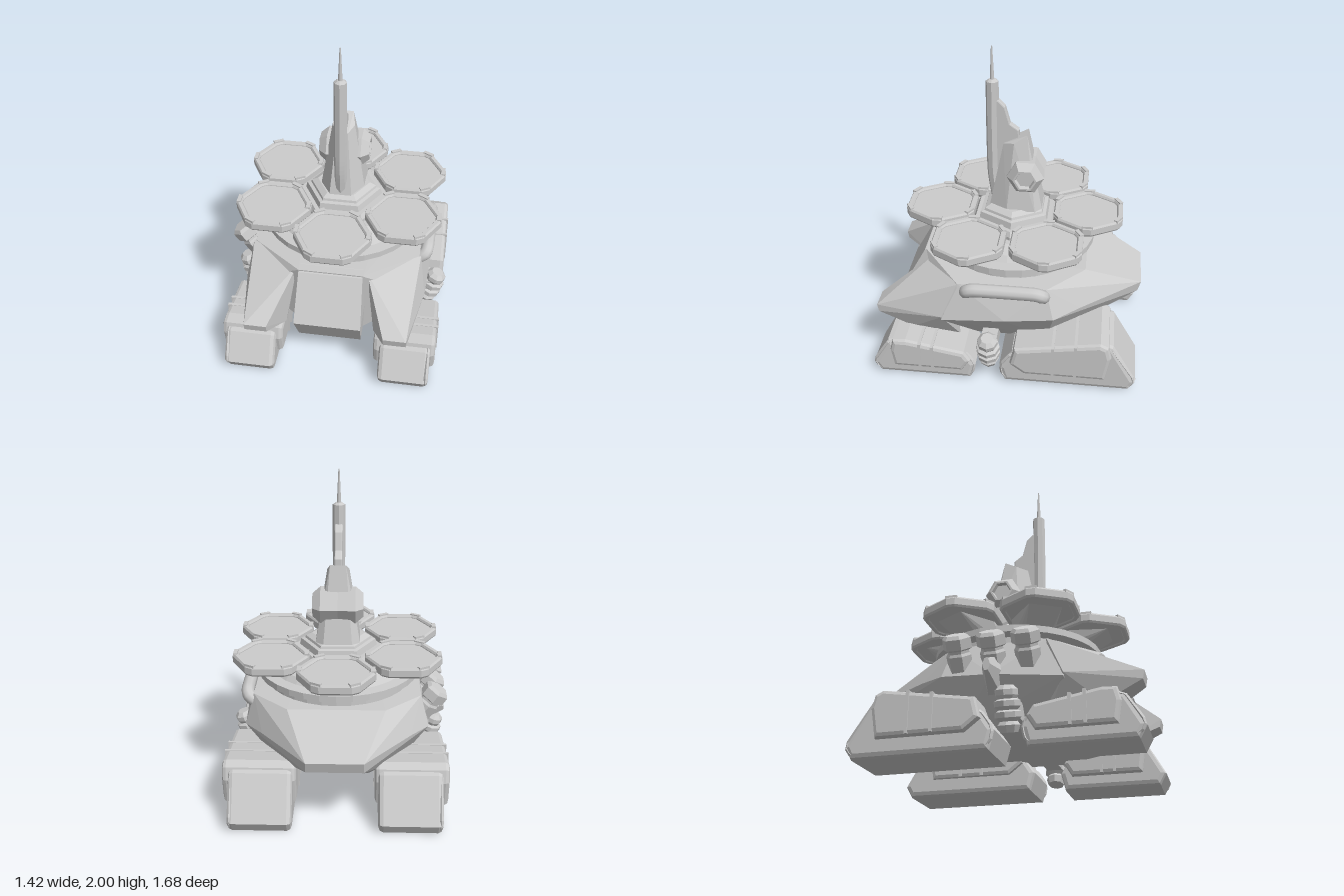
import * as THREE from 'three';
import { ConvexGeometry } from 'three/addons/geometries/ConvexGeometry.js';

const flat = new THREE.MeshStandardMaterial({ color: 0xcccccc, flatShading: true });
const smooth = new THREE.MeshStandardMaterial({ color: 0xcccccc });
const V = (x, y, z) => new THREE.Vector3(x, y, z);

export function createModel() {
  const model = new THREE.Group();
  const add = (name, geo, mat = flat, parent = model) => {
    const m = new THREE.Mesh(geo, mat);
    m.name = name;
    parent.add(m);
    return m;
  };

  // Faceted solid around points; 'mirror' adds each point on the other side too
  const solid = (pts, mirror = true, s = 1) => new ConvexGeometry(
    pts.flatMap(([x, y, z]) => (mirror ? [V(x, y, z), V(-x, y, z)] : [V(x * s, y, z)])));

  // Side outline of [z, y] points, extruded across x from the centre cx
  const slab = (pts, cx, width, bevel = 0.02) => {
    const g = new THREE.ExtrudeGeometry(new THREE.Shape(pts.map(p => new THREE.Vector2(...p))), {
      depth: width - 2 * bevel, bevelEnabled: bevel > 0, bevelThickness: bevel,
      bevelSize: bevel, bevelOffset: -bevel, bevelSegments: 2 });
    return g.translate(0, 0, bevel - width / 2).rotateY(-Math.PI / 2).translate(cx, 0, 0);
  };
  const lathe = (pts, sides) => new THREE.LatheGeometry(pts.map(p => new THREE.Vector2(...p)), sides);

  // Hull
  add('hull', solid([
    [0.2, 0.67, 0.56], [0.53, 0.65, 0.3], [0.53, 0.65, -0.25], [0.3, 0.66, -0.48],
    [0.58, 0.4, 0.4], [0.6, 0.44, 0], [0.58, 0.46, -0.3], [0.46, 0.48, -0.46],
    [0.17, 0.5, -0.84], [0.17, 0.43, -0.82],
    [0.2, 0.17, 0.5], [0.4, 0.18, 0.2], [0.4, 0.18, -0.25], [0.2, 0.2, -0.45]]));
  add('noseBlock', solid([
    [0.2, 0.67, 0.5], [0.2, 0.66, 0.57], [0.21, 0.37, 0.73], [0.2, 0.17, 0.62],
    [0.2, 0.17, 0.3], [0.21, 0.4, 0.3]]));
  for (const s of [-1, 1]) {
    add('frontProng', solid([
      [0.22, 0.65, 0.5], [0.54, 0.65, 0.3], [0.58, 0.42, 0.4], [0.36, 0.42, 0.83], [0.5, 0.42, 0.83],
      [0.36, 0.37, 0.82], [0.5, 0.37, 0.82], [0.28, 0.27, 0.62], [0.49, 0.26, 0.6],
      [0.3, 0.2, 0.4], [0.48, 0.22, 0.3]], false, s));
  }

  // Track units with wrapped-over fenders, mirrored left and right
  const tracks = [
    { name: 'frontTrack', cx: 0.49, w: 0.32, fx: 0.485, fw: 0.39,
      belt: [[0.8, 0], [0.84, 0.07], [0.74, 0.25], [0.67, 0.26], [0.24, 0.2], [0.18, 0.11], [0.21, 0]],
      fender: [[0.7, 0.08], [0.72, 0.2], [0.7, 0.28], [0.62, 0.285], [0.25, 0.22], [0.21, 0.16], [0.26, 0.08]],
      rib: z => [0.09, 0.22 + (z - 0.25) * 0.176], ribs: [0.53, 0.45] },
    { name: 'rearTrack', cx: 0.455, w: 0.39, fx: 0.465, fw: 0.45,
      belt: [[0, 0], [0.03, 0.11], [-0.05, 0.23], [-0.62, 0.35], [-0.68, 0.33], [-0.83, 0.07], [-0.79, 0]],
      fender: [[-0.13, 0.1], [-0.04, 0.17], [-0.07, 0.29], [-0.6, 0.375], [-0.65, 0.35], [-0.67, 0.27], [-0.64, 0.1]],
      rib: z => [0.11, 0.29 - (z + 0.07) * 0.16], ribs: [-0.31, -0.45] },
  ];
  for (const s of [-1, 1]) for (const t of tracks) {
    const unit = new THREE.Group();
    unit.name = t.name;
    model.add(unit);
    add('belt', slab([...t.belt].reverse(), s * t.cx, t.w, 0.03), flat, unit);
    add('fender', slab([...t.fender].reverse(), s * t.fx, t.fw, 0.025), flat, unit);
    for (const z of t.ribs) {
      const [y0, y1] = t.rib(z);
      add('fenderRib', new THREE.BoxGeometry(t.fw + 0.015, y1 - y0 + 0.008, 0.018)
        .translate(s * t.fx, (y0 + y1) / 2, z), flat, unit);
    }
    // raised lip round the outer face of the belt
    const lip = new THREE.CatmullRomCurve3(
      t.belt.map(([z, y]) => V(s * (t.cx + t.w / 2 - 0.015), 0.025 + y * 0.86, z * 0.97 + (z > 0.1 ? 0.015 : -0.012))),
      true, 'catmullrom', 0.1);
    add('beltLip', new THREE.TubeGeometry(lip, 48, 0.012, 4, true), flat, unit);
  }

  // Ringed suspension strut between the tracks
  for (const s of [-1, 1]) {
    const strut = add('suspensionStrut', lathe([[0, 0], [0.05, 0], [0.065, 0.04], [0.05, 0.06], [0.075, 0.08],
      [0.075, 0.11], [0.055, 0.12], [0.075, 0.14], [0.075, 0.17], [0.055, 0.18], [0.065, 0.2],
      [0.065, 0.23], [0.04, 0.255], [0, 0.255]], 8));
    strut.position.set(s * 0.58, 0.1, 0.1);
    strut.rotation.z = -s * 0.3;
    add('strutArm', new THREE.BoxGeometry(0.3, 0.1, 0.1).translate(s * 0.46, 0.24, 0.1));
  }

  // Grab handle on the left flank
  const grip = new THREE.CatmullRomCurve3([V(0.48, 0.56, 0.25), V(0.56, 0.62, 0.24), V(0.575, 0.645, 0.18),
    V(0.575, 0.645, -0.17), V(0.56, 0.62, -0.23), V(0.48, 0.56, -0.24)], false, 'catmullrom', 0.3);
  add('handle', new THREE.TubeGeometry(grip, 40, 0.042, 10), smooth);

  // Three canisters and their bracket on the right flank
  const out = V(-0.55, 0.83, 0).normalize();
  for (const z of [-0.2, 0, 0.2]) {
    const can = add('canister', lathe([[0, -0.06], [0.07, -0.06], [0.075, 0.06], [0.065, 0.075], [0.065, 0.09],
      [0.085, 0.1], [0.085, 0.16], [0.065, 0.18], [0, 0.18]], 6));
    can.quaternion.setFromUnitVectors(V(0, 1, 0), out);
    can.position.set(-0.545, 0.53, z);
  }
  const bracket = add('canisterBracket', new THREE.CylinderGeometry(0.04, 0.16, 0.22, 6));
  bracket.rotation.z = Math.PI / 2;
  bracket.position.set(-0.59, 0.46, 0);
  bracket.scale.z = 0.55;

  // Turret collar
  add('turretCollar', lathe([[0, 0.64], [0.42, 0.64], [0.42, 0.67], [0.47, 0.68], [0.47, 0.715], [0.52, 0.73],
    [0.52, 0.77], [0.45, 0.775], [0.42, 0.81], [0.34, 0.84], [0, 0.84]], 32));

  // Hexagonal hub under the tower
  add('hub', lathe([[0.3, 0.8], [0.3, 0.86], [0.28, 0.89], [0.25, 0.89], [0.24, 0.93], [0.215, 0.935],
    [0.21, 0.95], [0.17, 0.97], [0, 0.97]], 6).rotateY(Math.PI / 6));

  // Six panels around the hub: hexagons with clipped corners
  const clippedHex = (r, Type) => {
    const pts = [];
    for (let k = 0; k < 6; k++) for (const d of [-6, 6]) {
      const a = THREE.MathUtils.degToRad(k * 60 + d);
      pts.push(new THREE.Vector2(r * Math.cos(a), r * Math.sin(a)));
    }
    return new Type(pts);
  };
  const rimShape = clippedHex(0.232, THREE.Shape);
  rimShape.holes.push(clippedHex(0.208, THREE.Path));
  const rimGeo = new THREE.ExtrudeGeometry(rimShape, { depth: 0.04, bevelThickness: 0.012, bevelSize: 0.008,
    bevelSegments: 1 }).rotateX(-Math.PI / 2).translate(0, 0.875, 0);
  const plateGeo = new THREE.ExtrudeGeometry(clippedHex(0.21, THREE.Shape), { depth: 0.04, bevelEnabled: false })
    .rotateX(-Math.PI / 2).translate(0, 0.87, 0);
  const supportGeo = solid([[0.1, 0.875, 0.12], [0.14, 0.875, -0.12], [0.1, 0.78, -0.1], [0.08, 0.79, -0.02],
    [0.12, 0.78, -0.18], [0.12, 0.86, -0.18]]);
  for (let i = 0; i < 6; i++) {
    const a = i * Math.PI / 3;
    const panel = new THREE.Group();
    panel.name = 'panel';
    panel.position.set(0.475 * Math.sin(a), 0, 0.475 * Math.cos(a));
    model.add(panel);
    add('panelRim', rimGeo, flat, panel);
    add('panelPlate', plateGeo, flat, panel);
    add('panelSupport', supportGeo, flat, panel).rotation.y = a;
    for (let k = 0; k < 6; k++) {
      const b = k * Math.PI / 3, clip = add('rimClip', new THREE.BoxGeometry(0.025, 0.02, 0.07), flat, panel);
      clip.position.set(0.222 * Math.cos(b), 0.925, -0.222 * Math.sin(b));
      clip.rotation.y = b;
    }
  }

  // Tower body
  add('tower', solid([
    [0.14, 0.96, 0.04], [0.14, 0.96, -0.14], [0.07, 0.96, 0.155], [0.09, 0.96, -0.18],
    [0.035, 1.38, 0.07], [0.07, 1.4, 0], [0.05, 1.45, -0.08], [0.07, 1.23, -0.11]]));
  for (const s of [-1, 1]) {
    const pod = add('sensorPod', lathe([[0, -0.1], [0.11, -0.1], [0.118, 0.02], [0.075, 0.07], [0.062, 0.07],
      [0.055, 0.045], [0, 0.045]], 6));
    pod.rotation.set(0, 0, -s * Math.PI / 2);
    pod.position.set(s * 0.09, 1.19, -0.075);
  }

  // Mast with its curved foot, rear fin and antenna
  const mast = new THREE.CatmullRomCurve3([V(0, 0.97, 0.11), V(0, 1.15, 0.135), V(0, 1.35, 0.14), V(0, 1.78, 0.14)]);
  add('mast', new THREE.TubeGeometry(mast, 24, 0.04, 8));
  add('mastCap', new THREE.CylinderGeometry(0.02, 0.04, 0.015, 8).translate(0, 1.785, 0.14));
  add('mastFin', slab([[0.13, 1.0], [-0.03, 1.35], [-0.025, 1.47], [0.03, 1.51], [0.06, 1.62], [0.1, 1.66],
    [0.13, 1.66]], 0, 0.05, 0.008));
  add('antenna', new THREE.CylinderGeometry(0.004, 0.014, 0.22, 8).translate(0, 1.89, 0.14), smooth);

  return model;
}
